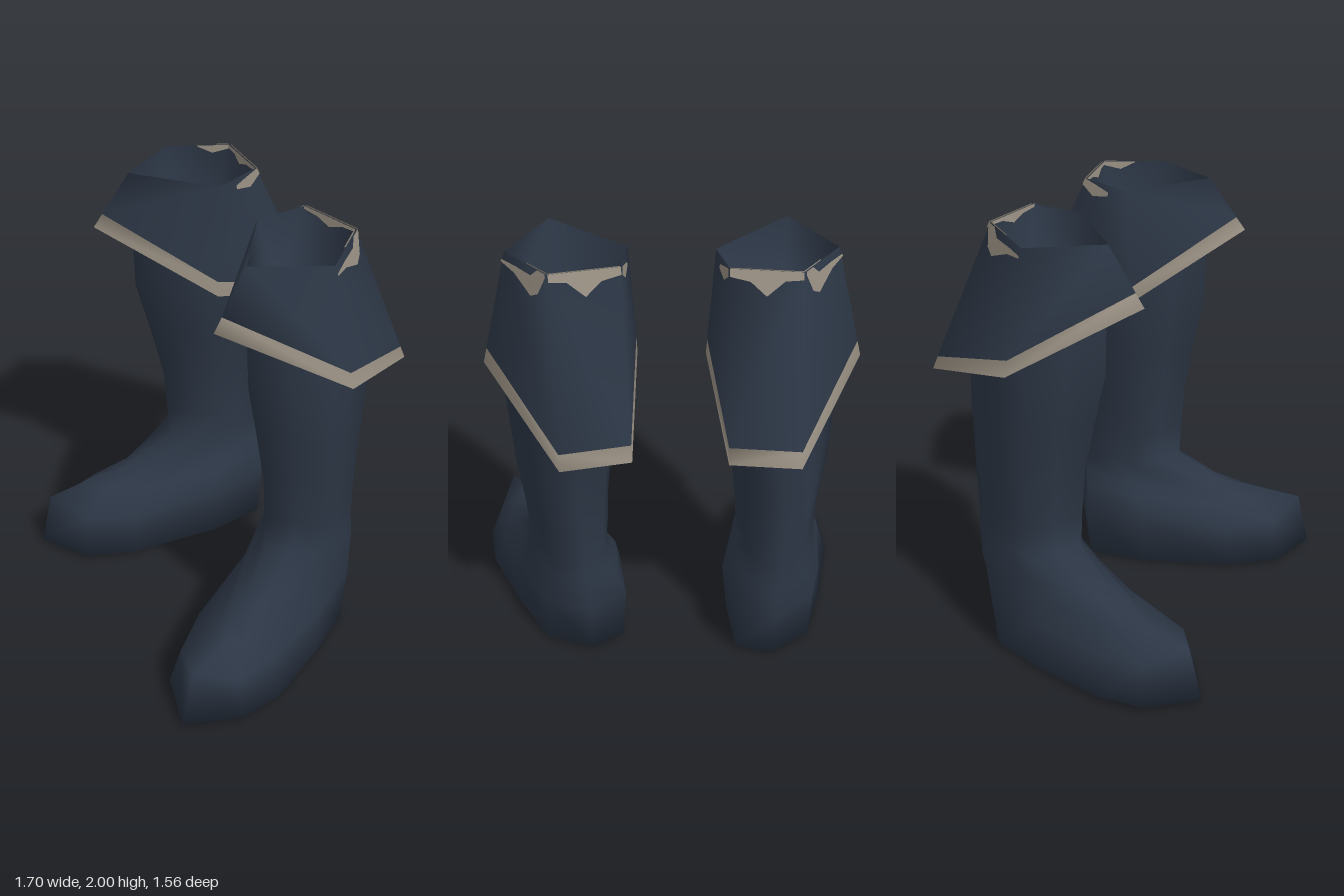
import * as THREE from 'three';

const navy = new THREE.MeshStandardMaterial({ color: 0x2c3645, side: THREE.DoubleSide });
navy.name = 'navyLeather';
const trim = new THREE.MeshStandardMaterial({ color: 0x968d80, side: THREE.DoubleSide });
trim.name = 'beigeTrim';

const V = (x, y, z) => new THREE.Vector3(x, y, z);

// Foot rings from instep to sole: x, y, z, starting at the toe and going round the outer side
const FOOT = [
  [.59, .37, .34, .64, .38, .29, .68, .41, .17, .695, .44, -.05, .61, .46, -.31,
    .48, .47, -.345, .35, .46, -.315, .305, .44, -.07, .39, .41, .17, .50, .38, .30],
  [.67, .31, .53, .71, .30, .44, .70, .31, .30, .70, .36, .01, .635, .40, -.28,
    .46, .41, -.355, .315, .40, -.30, .285, .38, -.03, .44, .31, .35, .57, .30, .47],
  [.70, .27, .72, .79, .20, .54, .79, .20, .35, .74, .24, .02, .655, .28, -.255,
    .46, .28, -.38, .28, .28, -.29, .263, .27, 0, .38, .22, .42, .50, .22, .62],
  [.70, .02, .78, .85, .03, .56, .85, .025, .35, .75, .015, .02, .65, .01, -.23,
    .46, .01, -.34, .295, .01, -.28, .287, .01, 0, .36, .015, .43, .46, .02, .66],
];
// Five-sided shaft from the top: height, then x, z of the front, outer, back outer, back inner and inner corners
const SHAFT = [
  [1.80, .48, .24, .715, 0, .56, -.32, .28, -.33, .205, -.03],
  [1.65, .48, .24, .74, .01, .575, -.36, .29, -.365, .21, -.01],
  [1.42, .49, .24, .75, .01, .585, -.38, .30, -.38, .21, 0],
  [1.18, .495, .195, .735, -.01, .59, -.355, .335, -.355, .255, -.015],
  [.93, .50, .153, .72, -.03, .59, -.33, .375, -.33, .287, -.03],
  [.70, .50, .137, .692, -.035, .58, -.33, .38, -.33, .31, -.03],
  [.54, .50, .13, .685, -.035, .58, -.33, .38, -.33, .315, -.03],
];
// Cuff corners: front, outer, back outer, back inner, inner
const CUFF_TOP = [V(.48, 1.98, .25), V(.695, 1.98, -.01), V(.55, 2, -.27), V(.26, 2, -.265), V(.195, 1.975, -.06)];
const CUFF_LOW = [V(.485, 1.75, .42), V(.82, 1.475, -.025), V(.585, 1.285, -.6), V(.29, 1.295, -.61), V(.16, 1.46, -.04)];
// Floor of the opening, same corner order
const FLOOR = [V(.495, 1.7, .13), V(.685, 1.7, -.015), V(.555, 1.7, -.215), V(.36, 1.7, -.215), V(.32, 1.7, -.085)];

// The right boot is mirrored, set back and twisted outwards towards the knee
function pose(p, right, t = THREE.MathUtils.clamp((p.y - .9) / .6, 0, 1)) {
  if (!right) return p.clone();
  const a = THREE.MathUtils.lerp(.11, .285, t);
  const x = -p.x + .46, z = p.z + .1, c = Math.cos(a), s = Math.sin(a);
  return V(x * c - z * s - .46 + THREE.MathUtils.lerp(.067, .065, t), p.y,
    x * s + z * c - .1 + THREE.MathUtils.lerp(-.21, -.165, t));
}

// Skin between rings of points, listed from top to bottom
function loft(rings, flip, closed = true) {
  const n = rings[0].length, index = [];
  for (let r = 0; r + 1 < rings.length; r++) {
    for (let i = 0; i < (closed ? n : n - 1); i++) {
      const j = (i + 1) % n, a = r * n + i, b = a + n, c = (r + 1) * n + j, d = r * n + j;
      index.push(...(flip ? [a, c, b, a, d, c] : [a, b, c, a, c, d]));
    }
  }
  const g = new THREE.BufferGeometry().setFromPoints(rings.flat());
  g.setIndex(index);
  g.computeVertexNormals();
  return g;
}

// Ring shrunk to its centre, to close an end
function centreRing(ring, y) {
  const c = ring.reduce((s, p) => s.add(p), V(0, 0, 0)).divideScalar(ring.length).setY(y);
  return ring.map(() => c);
}

function add(group, name, geometry, material) {
  const m = new THREE.Mesh(geometry, material);
  m.name = name;
  group.add(m);
}

function makeBoot(right) {
  const g = new THREE.Group();
  g.name = right ? 'rightBoot' : 'leftBoot';

  // Shaft corners with the middles of their sides, running into the foot and sole as one smooth skin
  const rings = SHAFT.map(([y, ...xz]) => Array.from({ length: 10 }, (_, i) => {
    const a = i >> 1, b = (i + 1 >> 1) % 5;
    return V((xz[a * 2] + xz[b * 2]) / 2, y, (xz[a * 2 + 1] + xz[b * 2 + 1]) / 2);
  }));
  for (const f of FOOT) rings.push(Array.from({ length: 10 }, (_, i) => V(f[i * 3], f[i * 3 + 1], f[i * 3 + 2])));
  const posed = rings.map(r => r.map(p => pose(p, right)));
  posed.push(centreRing(posed[posed.length - 1], 0));
  add(g, 'shaftAndFoot', loft(posed, right), navy);

  // Flared five-sided cuff with a hem of even width
  const [top, low, floor] = [CUFF_TOP, CUFF_LOW, FLOOR].map(r => r.map(p => pose(p, right, 1)));
  const hem = low.map((p, i) => p.clone().lerp(top[i], .07 / p.distanceTo(top[i])));
  add(g, 'cuff', loft([top, hem], right), navy);
  add(g, 'cuffHem', loft([hem, low], right), trim);

  // Lining narrowing from the rim down to the floor of the opening
  add(g, 'lining', loft([top, floor, centreRing(floor, 1.7)], !right), navy);

  // Worn trim at the rim: u along a side, then upper and lower fraction down it
  const rimTrim = (side, bottom, offset, profile) => {
    const k = (side + 1) % 5;
    const n = bottom[side].clone().sub(top[side]).cross(top[k].clone().sub(top[side])).normalize();
    n.multiplyScalar(right ? -offset : offset);
    const at = (u, v) => top[side].clone().lerp(top[k], u)
      .lerp(bottom[side].clone().lerp(bottom[k], u), v).add(n);
    add(g, 'rimTrim', loft([profile.map(p => at(p[0], p[1])), profile.map(p => at(p[0], p[2]))], right, false), trim);
  };
  const back = [[0, 0, .04], [.25, 0, .05], [.5, 0, .13], [.72, 0, .06], [1, 0, .04]];
  rimTrim(1, low, .007, [[0, .06, .08], [.3, .05, .1], [.65, .05, .17], [.8, 0, .13], [.97, 0, .02]]);
  rimTrim(2, low, .006, back);
  rimTrim(3, low, .006, [[0, 0, .04], [.3, .02, .1], [.6, .05, .08]]);
  // Same trim showing on the lining at the back
  rimTrim(2, floor, -.006, back);
  rimTrim(1, floor, -.006, [[.5, 0, .01], [.75, 0, .12], [1, 0, .06]]);
  return g;
}

export function createModel() {
  const model = new THREE.Group();
  model.name = 'pairOfBoots';
  model.add(makeBoot(false), makeBoot(true));
  return model;
}
